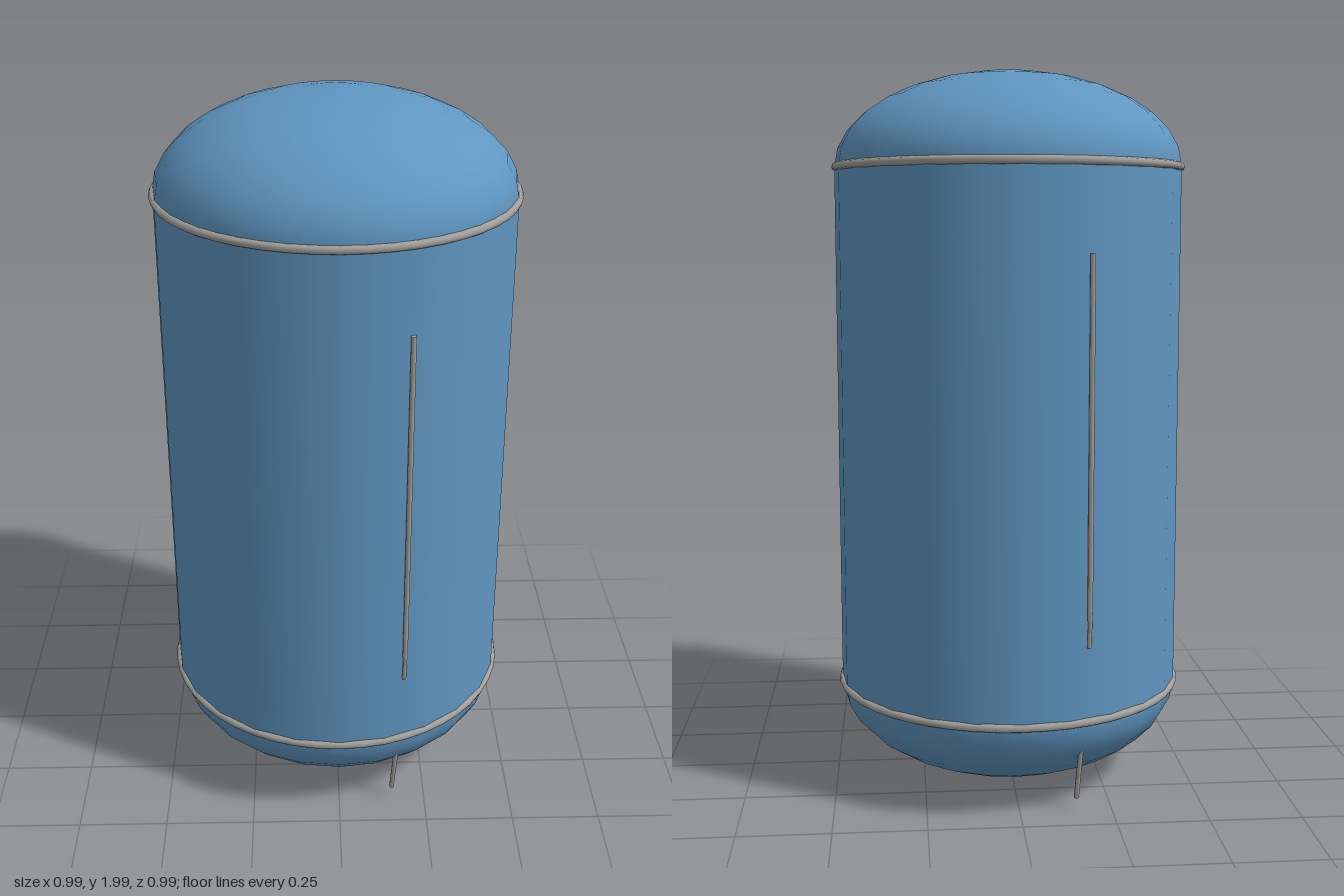
import * as THREE from 'three';

const RADIUS = 0.486, LOW = 0.271, HIGH = 1.737, DOME = 0.264;

export function createModel() {
  const blue = new THREE.MeshStandardMaterial({ color: 0x5f96c1 });
  blue.name = 'tank blue';
  const grey = new THREE.MeshStandardMaterial({ color: 0xa3a09b });
  grey.name = 'metal grey';

  const model = new THREE.Group();
  model.name = 'tank';
  const add = (parent, name, geometry, material) => {
    const mesh = new THREE.Mesh(geometry, material);
    mesh.name = name;
    parent.add(mesh);
    return mesh;
  };

  // Shell: straight wall between two elliptical domes
  const profile = [];
  const steps = 8;
  for (const [y, start] of [[LOW, -Math.PI / 2], [HIGH, 0]]) {
    for (let i = 0; i <= steps; i++) {
      const a = start + (i / steps) * Math.PI / 2;
      profile.push(new THREE.Vector2(Math.max(0, RADIUS * Math.cos(a)), y + DOME * Math.sin(a)));
    }
  }
  add(model, 'shell', new THREE.LatheGeometry(profile, 24), blue);

  // Rim bands where the domes meet the wall
  for (const [name, y] of [['lowerBand', LOW], ['upperBand', HIGH]]) {
    const band = add(model, name, new THREE.TorusGeometry(0.483, 0.0115, 8, 48), grey);
    band.rotation.x = Math.PI / 2;
    band.position.y = y;
  }

  // Thin rod running between two (radius, height) points on the +z side
  const rod = (parent, name, r0, y0, r1, y1, thickness) => {
    const top = new THREE.Vector3(0, y0, r0), bottom = new THREE.Vector3(0, y1, r1);
    const axis = top.clone().sub(bottom);
    const mesh = add(parent, name, new THREE.CylinderGeometry(thickness, thickness, axis.length(), 8), grey);
    mesh.position.copy(top).add(bottom).multiplyScalar(0.5);
    mesh.quaternion.setFromUnitVectors(new THREE.Vector3(0, 1, 0), axis.normalize());
  };

  // Side pipe, its outlet and a lower pin, repeated on the opposite side
  for (let i = 0; i < 2; i++) {
    const fittings = new THREE.Group();
    fittings.name = i ? 'backFittings' : 'frontFittings';
    fittings.rotation.y = 0.377 + i * Math.PI;
    rod(fittings, 'sidePipe', 0.488, 1.505, 0.488, 0.55, 0.0075);
    rod(fittings, 'pipeOutlet', 0.49, 0.57, 0.485, 0.475, 0.006);
    rod(fittings, 'lowerPin', 0.444, 0.18, 0.421, 0.038, 0.007);
    model.add(fittings);
  }

  return model;
}
